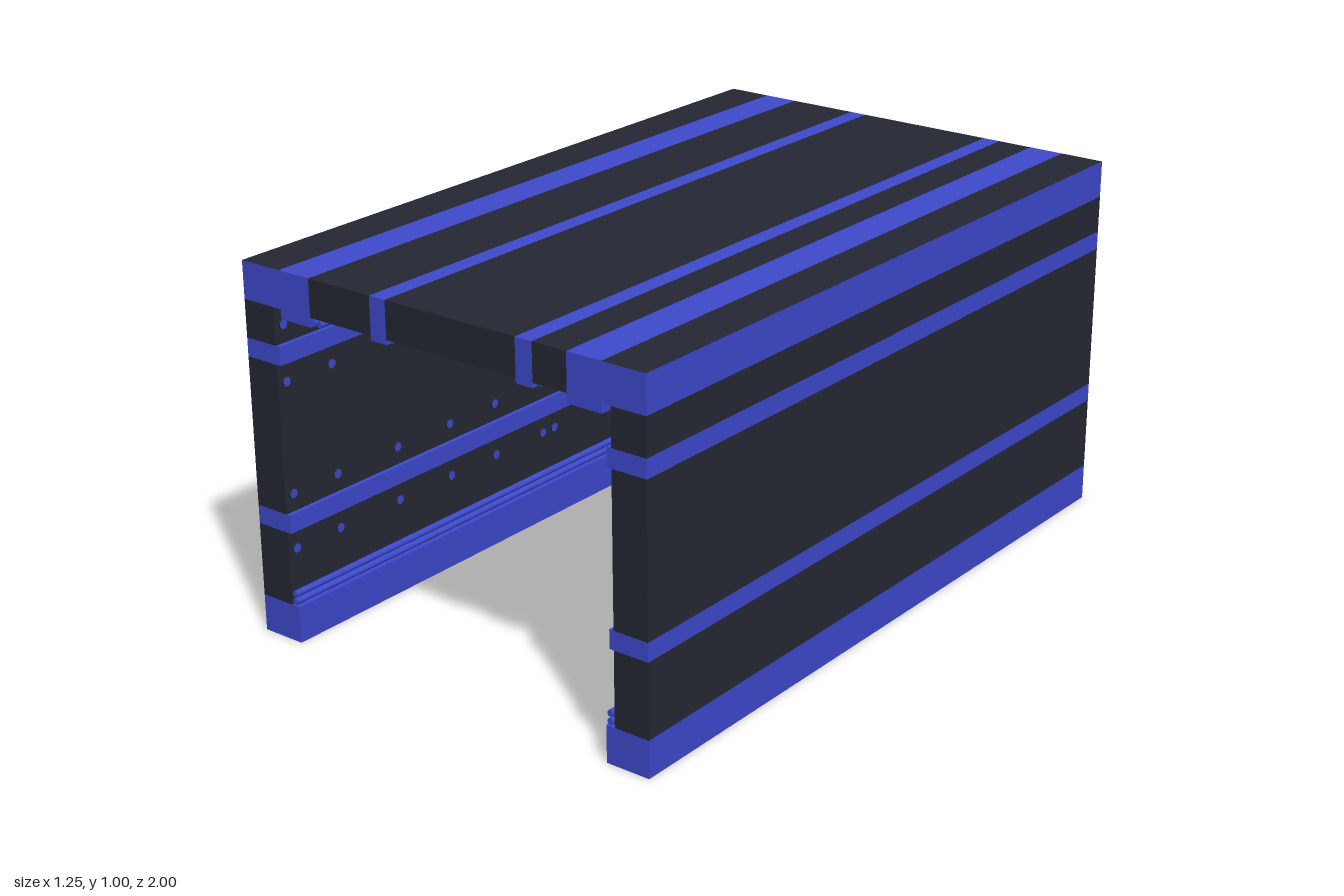
import * as THREE from 'three';

const LENGTH = 2;

export function createModel() {
  const model = new THREE.Group();
  const blue = new THREE.MeshStandardMaterial({ color: 0x3d49cc });
  const dark = new THREE.MeshStandardMaterial({ color: 0x252833 });
  const darkTop = [blue, blue, dark, blue, blue, blue];
  const darkBottom = [blue, blue, blue, dark, blue, blue];

  // Full-length bar given by its cross-section limits
  function bar(parent, name, x0, x1, y0, y1, material) {
    const mesh = new THREE.Mesh(new THREE.BoxGeometry(x1 - x0, y1 - y0, LENGTH), material);
    mesh.position.set((x0 + x1) / 2, (y0 + y1) / 2, 0);
    mesh.name = name;
    parent.add(mesh);
  }

  // Full-length pipe along z
  const pipeGeometry = new THREE.CylinderGeometry(0.009, 0.009, LENGTH, 12).rotateX(Math.PI / 2);
  function pipe(parent, name, x, y) {
    const mesh = new THREE.Mesh(pipeGeometry, blue);
    mesh.position.set(x, y, 0);
    mesh.name = name;
    parent.add(mesh);
  }

  // Row of rivets: dark sides, blue heads
  const rivetGeometry = new THREE.CylinderGeometry(0.0125, 0.0125, 0.005, 12);
  const rivetZ = [0.025, 0.22, 0.4, 0.6, 0.82, 0.975];
  function rivetRow(parent, name, x, y, angle) {
    const row = new THREE.Group();
    row.name = name;
    for (const z of rivetZ) {
      for (const side of [-1, 1]) {
        const rivet = new THREE.Mesh(rivetGeometry, [dark, blue, dark]);
        rivet.position.set(x, y, side * z);
        rivet.rotation.z = angle;
        rivet.name = 'rivet';
        row.add(rivet);
      }
    }
    parent.add(row);
  }

  // Side walls, mirrored left and right
  for (const s of [-1, 1]) {
    const wall = new THREE.Group();
    wall.name = s > 0 ? 'leftWall' : 'rightWall';
    const part = (name, inner, outer, y0, y1, material) =>
      bar(wall, name, Math.min(s * inner, s * outer), Math.max(s * inner, s * outer), y0, y1, material);

    part('baseBeam', 0.5, 0.625, 0, 0.1, darkBottom);
    part('lowerPanel', 0.525, 0.625, 0.1, 0.3, dark);
    part('lowerRib', 0.5125, 0.625, 0.3, 0.35, blue);
    part('middlePanel', 0.525, 0.625, 0.35, 0.75, dark);
    part('upperRib', 0.5125, 0.625, 0.75, 0.8, blue);
    part('upperPanel', 0.525, 0.625, 0.8, 0.9, dark);
    part('cornerBeam', 0.5, 0.625, 0.9, 1, darkTop);
    part('ceilingBeam', 0.4, 0.5, 0.875, 1, blue);

    for (const y of [0.112, 0.133]) pipe(wall, 'wallPipe', s * 0.512, y);
    for (const y of [0.25, 0.4, 0.7, 0.85]) {
      rivetRow(wall, 'wallRivets', s * 0.5225, y, s * Math.PI / 2);
    }
    model.add(wall);
  }

  // Ceiling panels and ribs
  const ceiling = new THREE.Group();
  ceiling.name = 'ceiling';
  for (const [x0, x1] of [[-0.4, -0.2], [-0.15, 0.25], [0.3, 0.4]]) {
    bar(ceiling, 'ceilingPanel', x0, x1, 0.9, 1, dark);
  }
  for (const x of [-0.2, 0.25]) bar(ceiling, 'ceilingRib', x, x + 0.05, 0.8875, 1, blue);
  for (const x of [-0.39, -0.37]) pipe(ceiling, 'ceilingPipe', x, 0.889);
  for (const x of [-0.25, -0.1, 0.2, 0.35]) rivetRow(ceiling, 'ceilingRivets', x, 0.8975, Math.PI);
  model.add(ceiling);

  return model;
}
